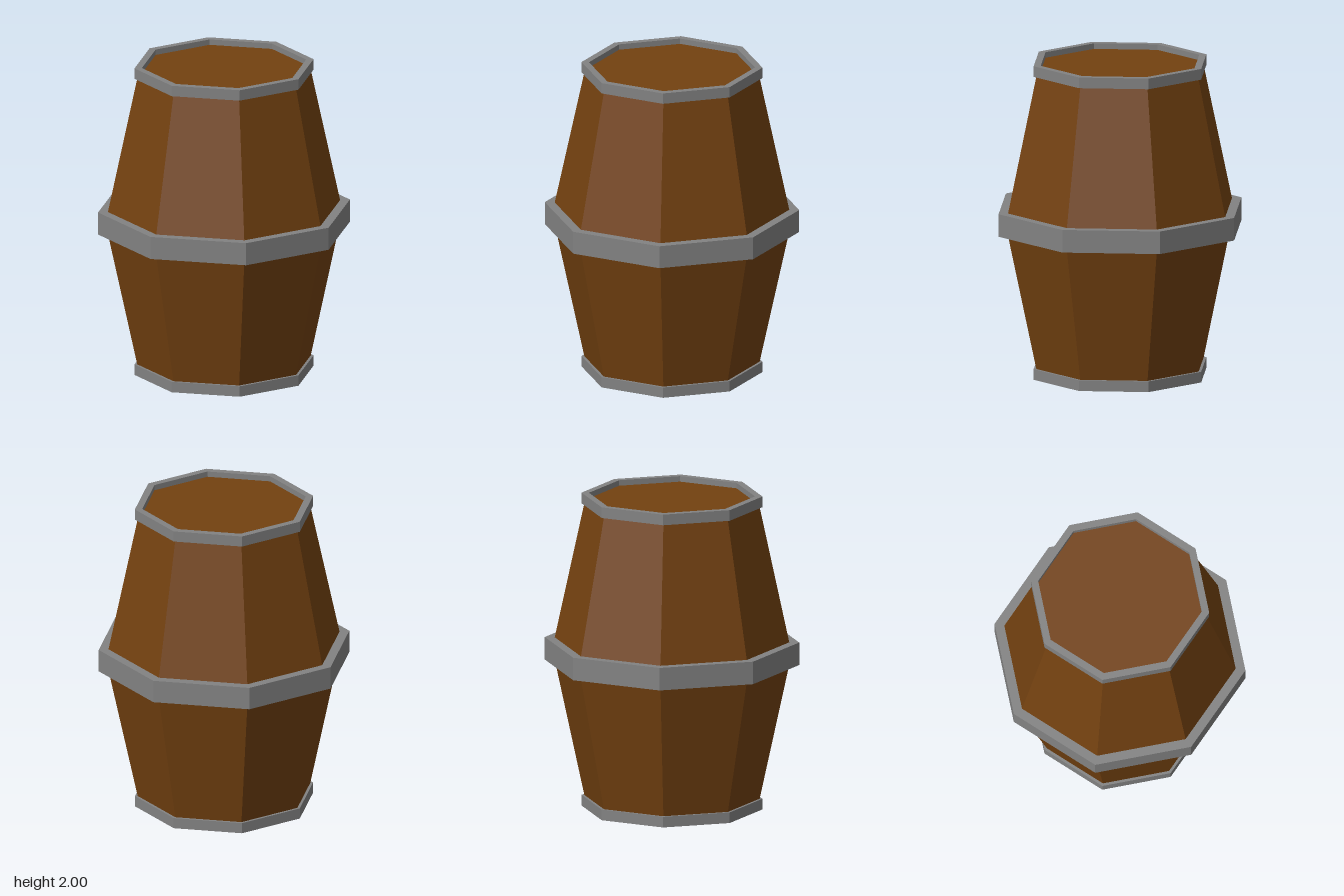
import * as THREE from 'three';

const SIDES = 8;

export function createModel() {
  const wood = new THREE.MeshStandardMaterial({ color: 0x734110 });
  const iron = new THREE.MeshStandardMaterial({ color: 0x828282 });
  wood.name = 'wood';
  iron.name = 'iron';
  wood.flatShading = iron.flatShading = true;

  const group = new THREE.Group();
  group.name = 'barrel';

  // Eight-sided solid of revolution; profile runs bottom to top on the outside
  function turned(name, profile, material) {
    const points = profile.map(([r, y]) => new THREE.Vector2(r, y));
    const mesh = new THREE.Mesh(new THREE.LatheGeometry(points, SIDES), material);
    mesh.name = name;
    group.add(mesh);
  }

  // Closed rectangular hoop
  function hoop(name, inner, outer, y0, y1) {
    turned(name, [[inner, y0], [outer, y0], [outer, y1], [inner, y1], [inner, y0]], iron);
  }

  // Staves with recessed flat lids at both ends
  turned('body', [[0, 0.035], [0.542, 0.035], [0.75, 1], [0.542, 1.965], [0, 1.965]], wood);

  // Iron hoops
  hoop('bottomHoop', 0.52, 0.567, 0, 0.068);
  hoop('middleHoop', 0.735, 0.797, 0.928, 1.072);
  hoop('topHoop', 0.52, 0.567, 1.932, 2);

  return group;
}
